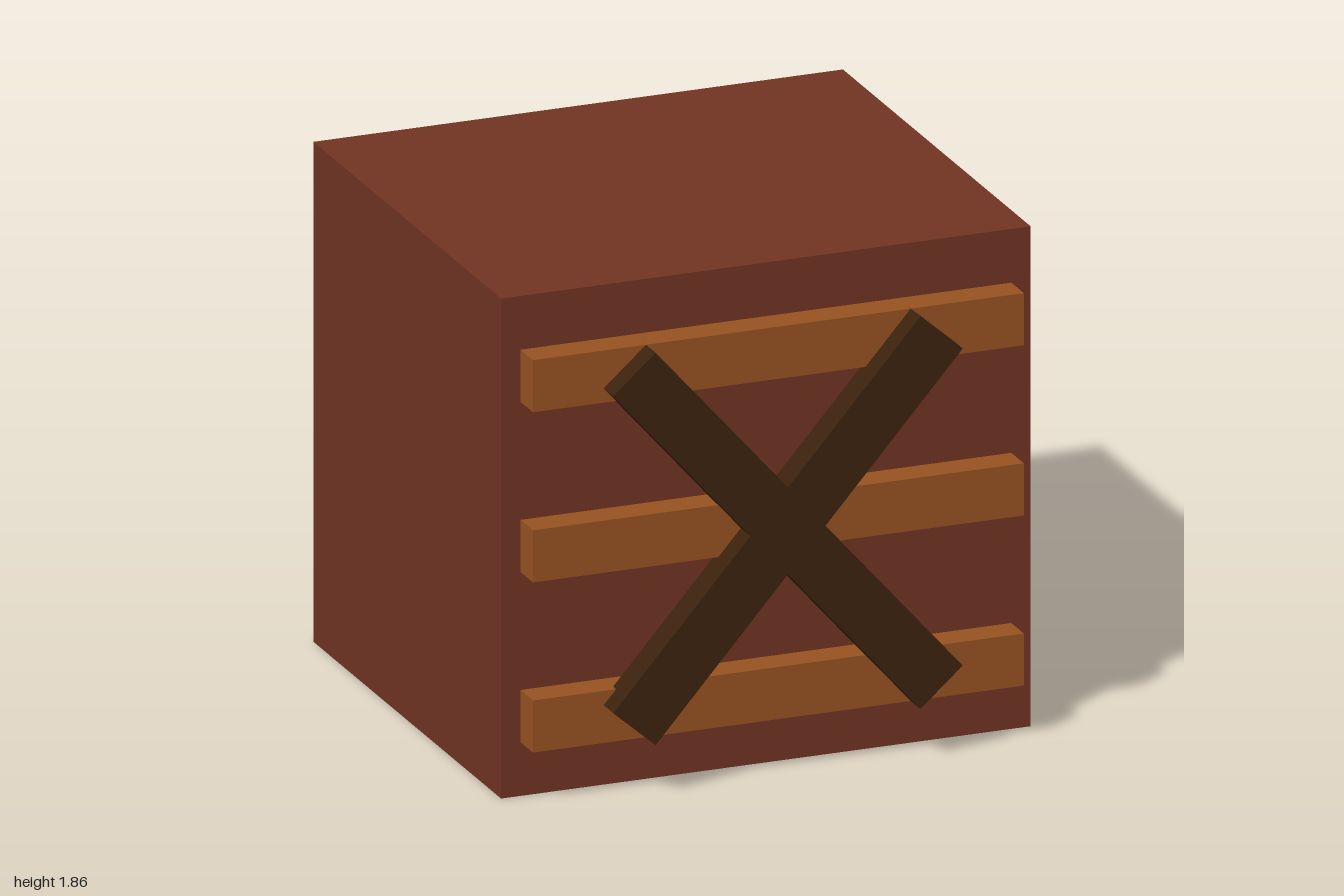
import * as THREE from 'three';

const mat = (name, color) => {
  const m = new THREE.MeshStandardMaterial({ color });
  m.name = name;
  return m;
};

export function createModel() {
  const crate = new THREE.Group();
  crate.name = 'crate';
  const redWood = mat('red brown wood', 0x703322);
  const lightWood = mat('light brown wood', 0x965221);
  const darkWood = mat('dark brown wood', 0x3b220d);

  // Adds a box of the given size, centred at the given position
  const addBox = (name, size, pos, material, tilt = 0) => {
    const mesh = new THREE.Mesh(new THREE.BoxGeometry(...size), material);
    mesh.name = name;
    mesh.position.set(...pos);
    mesh.rotation.z = tilt;
    crate.add(mesh);
  };

  // Main body
  addBox('body', [2, 1.86, 1.753], [0, 0.93, -0.1035], redWood);

  // Three horizontal slats on the front
  ['lowerSlat', 'middleSlat', 'upperSlat'].forEach((name, i) => {
    addBox(name, [1.854, 0.194, 0.12], [0, 0.297 + i * 0.633, 0.83], lightWood);
  });

  // Crossed braces over the slats
  const tilt = Math.atan2(1.32, 1.16);
  addBox('risingBrace', [1.757, 0.213, 0.118], [0, 0.93, 0.921], darkWood, tilt);
  addBox('fallingBrace', [1.757, 0.213, 0.118], [0, 0.93, 0.921], darkWood, -tilt);

  return crate;
}
